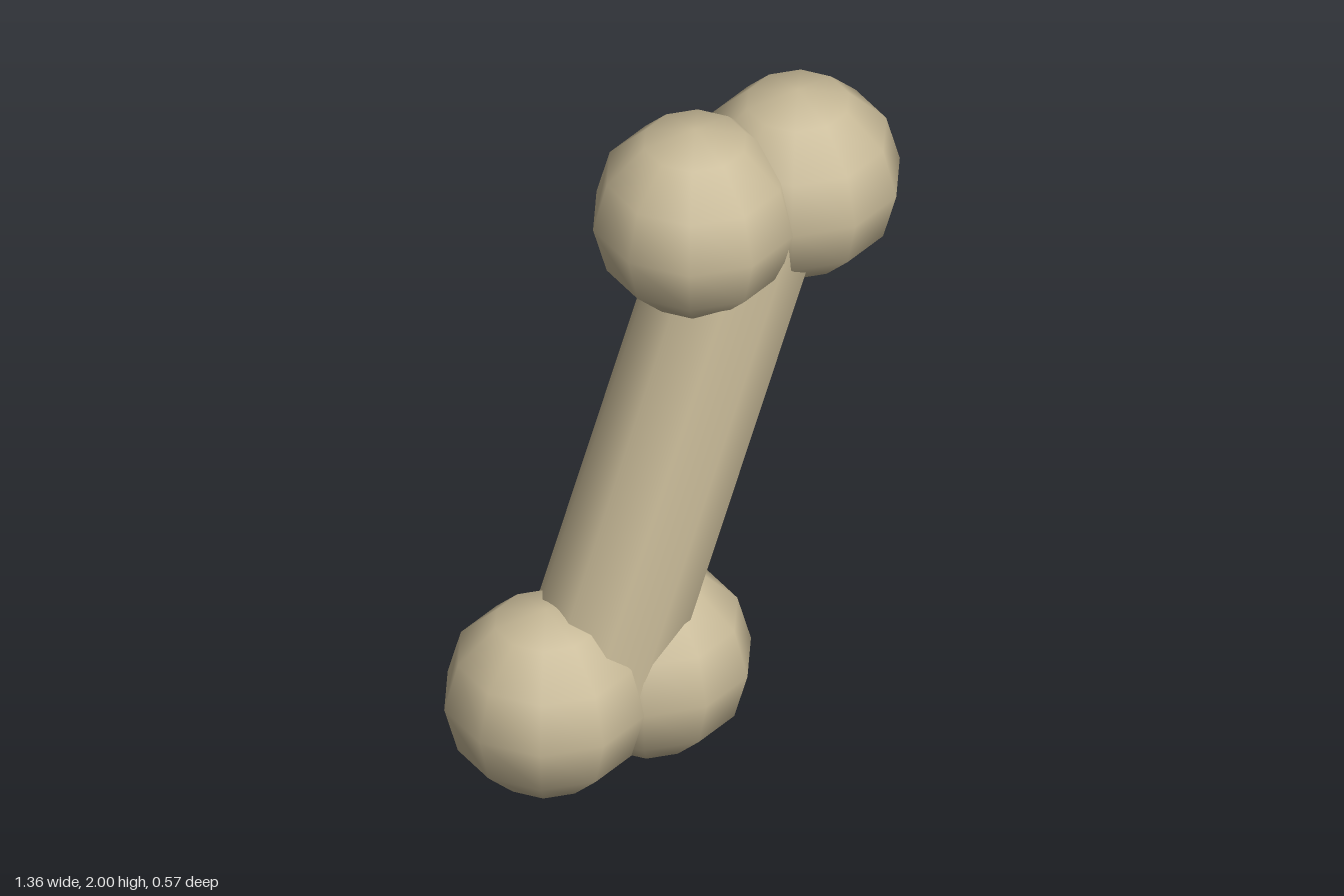
import * as THREE from 'three';

export function createModel() {
  const group = new THREE.Group();
  group.name = 'bone';
  const boneMaterial = new THREE.MeshStandardMaterial({ color: 0xc8ba98 });
  boneMaterial.name = 'bone beige';

  // Ten-sided shaft leaning towards +x, its ends buried in the knobs
  const shaft = new THREE.Mesh(new THREE.CylinderGeometry(0.211, 0.211, 1.46, 10), boneMaterial);
  shaft.name = 'shaft';
  shaft.position.y = 1;
  shaft.rotation.z = -THREE.MathUtils.degToRad(20);
  group.add(shaft);

  // Two overlapping knobs at each end, turned so ring corners point along z
  const radius = 0.286;
  const knobGeometry = new THREE.SphereGeometry(radius, 10, 6).rotateY(Math.PI / 2);
  for (const end of [1, -1]) {
    for (const [name, x] of [['inner', 0.074], ['outer', 0.407]]) {
      const knob = new THREE.Mesh(knobGeometry, boneMaterial);
      knob.name = `${end > 0 ? 'top' : 'bottom'} ${name} knob`;
      knob.position.set(end * x, 1 + end * (1 - radius), 0);
      group.add(knob);
    }
  }
  return group;
}
